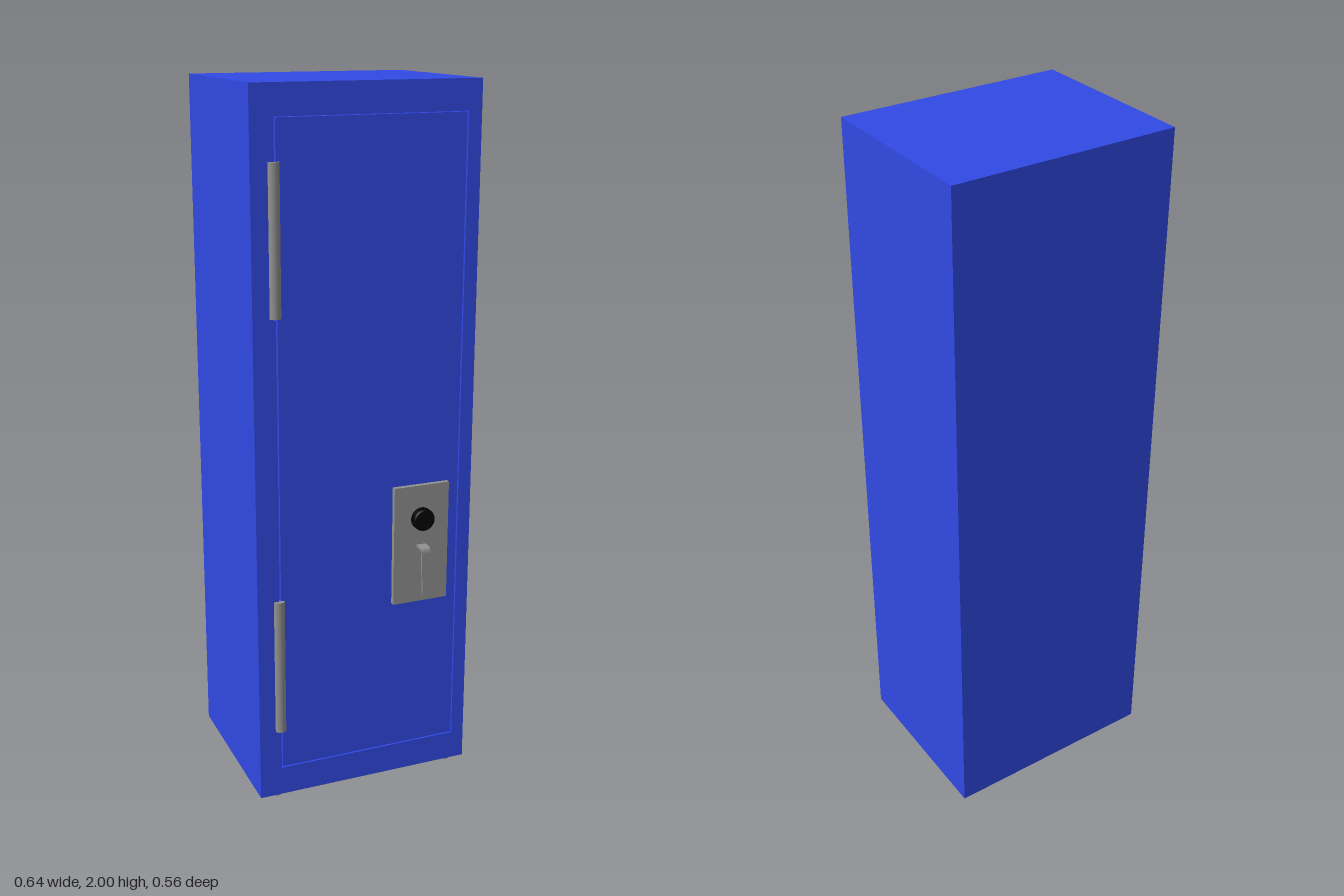
import * as THREE from 'three';

export function createModel() {
  const model = new THREE.Group();
  const paint = (name, color) => {
    const m = new THREE.MeshStandardMaterial({ color });
    m.name = name;
    return m;
  };
  const blue = paint('blue paint', 0x3049e4);
  const grey = paint('grey metal', 0x919191);
  const black = paint('black plastic', 0x020202);

  const add = (name, geometry, material, x = 0, y = 0, z = 0) => {
    const mesh = new THREE.Mesh(geometry, material);
    mesh.name = name;
    mesh.position.set(x, y, z);
    model.add(mesh);
    return mesh;
  };
  const rect = (Type, x0, y0, x1, y1) => new Type([
    new THREE.Vector2(x0, y0), new THREE.Vector2(x1, y0),
    new THREE.Vector2(x1, y1), new THREE.Vector2(x0, y1),
  ]);

  // Cabinet body with a front frame around the door opening
  add('cabinet', new THREE.BoxGeometry(0.64, 1.978, 0.49), blue, 0, 1.011, -0.035);
  const frame = rect(THREE.Shape, -0.32, 0.022, 0.32, 2);
  frame.holes.push(rect(THREE.Path, -0.256, 0.106, 0.282, 1.92));
  add('doorFrame', new THREE.ExtrudeGeometry(frame, { depth: 0.021, bevelEnabled: false }), blue, 0, 0, 0.21);

  // Door, separated from the frame by a thin groove
  add('door', new THREE.BoxGeometry(0.53, 1.806, 0.021), blue, 0.013, 1.013, 0.2205);

  // Hinge barrels, half sunk into the front
  for (const y of [0.424, 1.61]) {
    const hinge = add('hinge', new THREE.CylinderGeometry(0.0155, 0.0155, 0.397, 24), grey, -0.2575, y, 0.231);
    hinge.scale.z = 0.84;
  }

  // Lock plate
  add('lockPlate', new THREE.BoxGeometry(0.166, 0.348, 0.014), grey, 0.162, 0.735, 0.238);

  // Combination dial with a rounded rim
  const rim = [[0, 0], [0.032, 0], [0.032, 0.018], [0.0305, 0.0215], [0.027, 0.023], [0, 0.023]]
    .map(([r, h]) => new THREE.Vector2(r, h));
  add('dial', new THREE.LatheGeometry(rim, 32), black, 0.162, 0.812, 0.2445).rotation.x = Math.PI / 2;

  // Bent handle: profile drawn as (z, y), narrowing toward its lower end
  const bend = new THREE.Shape();
  bend.moveTo(0.242, 0.727);
  bend.lineTo(0.268, 0.727);
  bend.quadraticCurveTo(0.273, 0.727, 0.273, 0.72);
  bend.lineTo(0.273, 0.595);
  bend.lineTo(0.279, 0.595);
  bend.lineTo(0.279, 0.72);
  bend.quadraticCurveTo(0.278, 0.734, 0.266, 0.734);
  bend.lineTo(0.242, 0.734);
  const handle = new THREE.ExtrudeGeometry(bend, { depth: 1, bevelEnabled: false, curveSegments: 5 });
  handle.translate(0, 0, -0.5).rotateY(-Math.PI / 2);
  const p = handle.attributes.position;
  for (let i = 0; i < p.count; i++) {
    const t = (p.getY(i) - 0.595) / 0.139;
    p.setX(i, p.getX(i) * (0.016 + 0.012 * t));
  }
  handle.computeVertexNormals();
  add('handle', handle, grey, 0.162);

  // Four tapered feet
  for (const x of [-0.258, 0.281]) {
    for (const z of [-0.23, 0.19]) {
      add('foot', new THREE.CylinderGeometry(0.018, 0.013, 0.022, 16), grey, x, 0.011, z);
    }
  }

  return model;
}
